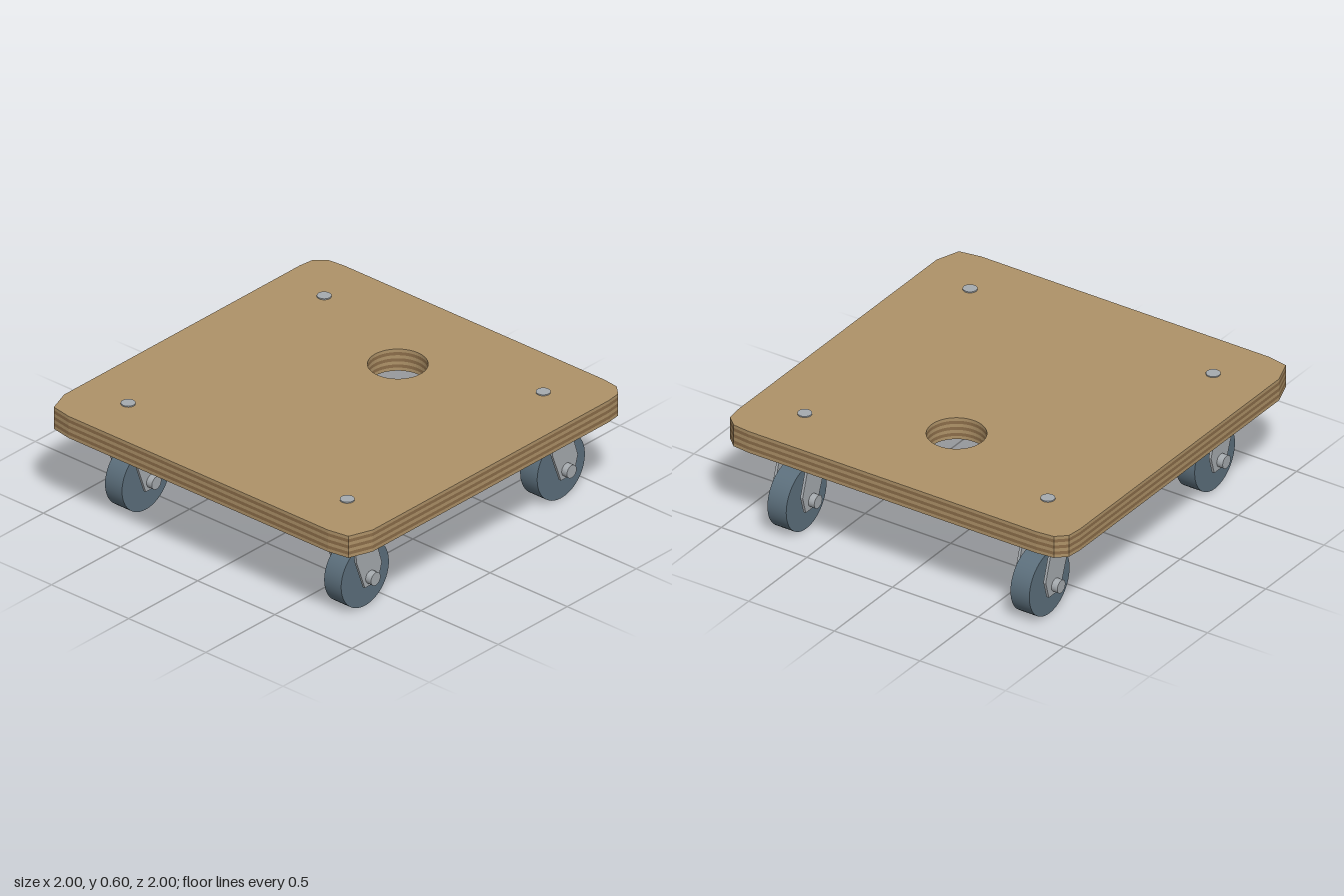
import * as THREE from 'three';

const mat = (color) => new THREE.MeshStandardMaterial({ color });
const METAL = mat(0xa6abaf), RUBBER = mat(0x5c6f7c);
const PLY_LIGHT = mat(0xae9268), PLY_DARK = mat(0x8b6d49);

function add(parent, name, geometry, material, x = 0, y = 0, z = 0) {
  const mesh = new THREE.Mesh(geometry, material);
  mesh.name = name;
  mesh.position.set(x, y, z);
  parent.add(mesh);
  return mesh;
}

// Cylinder lying along x
const axleCylinder = (r, width, sides) => new THREE.CylinderGeometry(r, r, width, sides).rotateZ(Math.PI / 2);

// Plywood board of stacked plies with cut corners and a round hand hole
function createBoard() {
  const board = new THREE.Group();
  board.name = 'board';
  const right = [[0.84, 0.995], [0.955, 0.975], [1, 0.85], [1, -0.86], [0.99, -0.94], [0.935, -0.99], [0.84, -1]];
  const left = right.map(([x, z]) => [-x, z]).reverse();
  const shape = new THREE.Shape([...right, ...left].map(([x, z]) => new THREE.Vector2(x, -z)));
  shape.holes.push(new THREE.Path().absarc(0, 0.45, 0.147, 0, Math.PI * 2, true));

  const plies = 7, thickness = 0.12 / plies;
  for (let i = 0; i < plies; i++) {
    const geo = new THREE.ExtrudeGeometry(shape, { depth: thickness, bevelEnabled: false, curveSegments: 32 });
    geo.rotateX(-Math.PI / 2);
    add(board, 'ply', geo, i % 2 ? PLY_DARK : PLY_LIGHT, 0, 0.475 + i * thickness, 0);
  }
  return board;
}

// Swivel caster, trailing towards -z
function createCaster() {
  const caster = new THREE.Group();
  caster.name = 'caster';
  const trail = -0.067, axleY = 0.174;

  // Swivel housing, bolt and nut
  add(caster, 'swivelHousing', new THREE.CylinderGeometry(0.115, 0.115, 0.08, 32), METAL, 0, 0.436, 0);
  add(caster, 'boltHead', new THREE.CylinderGeometry(0.036, 0.036, 0.01, 24), METAL, 0, 0.596, 0);
  add(caster, 'nut', new THREE.CylinderGeometry(0.032, 0.032, 0.02, 16), METAL, 0, 0.363, 0);

  // Fork: bridge with two side plates
  add(caster, 'forkBridge', new THREE.BoxGeometry(0.18, 0.028, 0.15), METAL, 0, 0.384, -0.021);
  const profile = [[0.043, 0.395], [-0.096, 0.395], [-0.15, 0.222], [-0.123, 0.128], [-0.027, 0.128], [0.033, 0.29]];
  const plate = new THREE.ExtrudeGeometry(
    new THREE.Shape(profile.map(([z, y]) => new THREE.Vector2(z, y))),
    { depth: 0.014, bevelEnabled: false });
  plate.rotateY(-Math.PI / 2).translate(0.007, 0, 0);
  for (const side of [-1, 1]) {
    add(caster, 'forkPlate', plate, METAL, side * 0.083, 0, 0);
    add(caster, 'axleNut', axleCylinder(0.035, 0.035, 16), METAL, side * 0.107, axleY, trail);
  }

  // Axle and wheel
  add(caster, 'axle', axleCylinder(0.02, 0.2, 16), METAL, 0, axleY, trail);
  add(caster, 'wheel', axleCylinder(0.173, 0.11, 48), RUBBER, 0, axleY, trail);
  return caster;
}

export function createModel() {
  const model = new THREE.Group();
  model.name = 'furnitureDolly';
  model.add(createBoard());
  for (const x of [-0.71, 0.71]) {
    for (const z of [-0.71, 0.71]) {
      const caster = createCaster();
      caster.position.set(x, 0, z);
      model.add(caster);
    }
  }
  return model;
}
